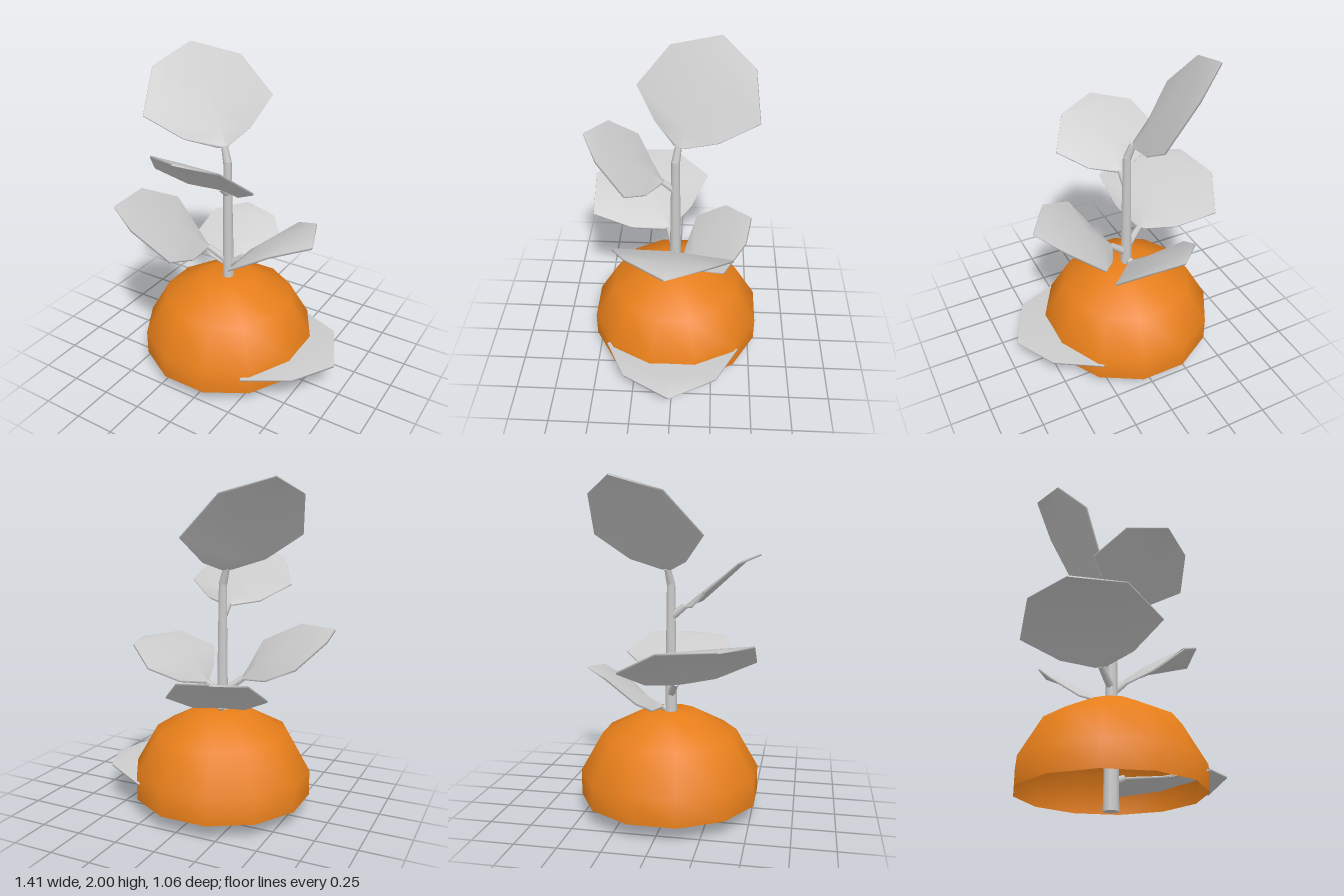
import * as THREE from 'three';

const V = (x, y, z) => new THREE.Vector3(x, y, z);
const UP = V(0, 1, 0);
const STEM_X = -0.06;
const THICKNESS = 0.012;

const grey = new THREE.MeshStandardMaterial({ color: 0xcccccc });
const orange = new THREE.MeshStandardMaterial({ color: 0xe67e1a, side: THREE.DoubleSide });

// Leaf cross-sections: [along, share of half width, edge height, midrib height]
const LEAF = [
  [0, 0.08, 0, 0],
  [0.14, 0.52, -0.025, 0.005],
  [0.39, 1, -0.006, 0.012],
  [0.8, 0.68, 0.022, 0.024],
  [1, 0.01, 0, 0],
];
// Corners around each cross-section: [side, layer], upper layer first
const RING = [[-1, 0], [0, 0], [1, 0], [1, 1], [0, 1], [-1, 1]];

// Tapered round rod between two points
function rod(name, a, b, r0, r1, sides = 8) {
  const dir = b.clone().sub(a);
  const mesh = new THREE.Mesh(new THREE.CylinderGeometry(r1, r0, dir.length(), sides), grey);
  mesh.position.copy(a).add(b).multiplyScalar(0.5);
  mesh.quaternion.setFromUnitVectors(UP, dir.normalize());
  mesh.name = name;
  return mesh;
}

// Thin solid leaf blade from base to tip, arched upward, with its width kept level
function blade(base, tip, halfWidth, arch) {
  const d = tip.clone().sub(base);
  const w = d.clone().cross(UP).normalize();
  const n = w.clone().cross(d).normalize();
  const pos = [], index = [], R = RING.length;
  for (const [t, width, edge, mid] of LEAF) {
    for (const [s, layer] of RING) {
      const h = (s ? edge : mid) + arch * 4 * t * (1 - t) - layer * THICKNESS;
      const p = base.clone()
        .addScaledVector(d, t)
        .addScaledVector(w, s * width * halfWidth)
        .addScaledVector(n, h);
      pos.push(p.x, p.y, p.z);
    }
  }
  for (let i = 0; i < LEAF.length - 1; i++) {
    for (let j = 0; j < R; j++) {
      const a = i * R + j, b = i * R + (j + 1) % R;
      index.push(a, b, a + R, b, b + R, a + R);
    }
  }
  // End caps
  const last = (LEAF.length - 1) * R;
  for (let j = 1; j < R - 1; j++) {
    index.push(0, j + 1, j, last, last + j, last + j + 1);
  }
  const geo = new THREE.BufferGeometry();
  geo.setAttribute('position', new THREE.Float32BufferAttribute(pos, 3));
  geo.setIndex(index);
  geo.computeVertexNormals();
  const mesh = new THREE.Mesh(geo, grey);
  mesh.name = 'blade';
  return mesh;
}

export function createModel() {
  const group = new THREE.Group();
  group.name = 'plant';

  // Main stem
  group.add(rod('stem', V(STEM_X, 0, 0), V(STEM_X, 1.4, 0), 0.046, 0.025));

  // Twelve-sided dome, open underneath
  const profile = [[0.545, 0.095], [0.545, 0.25], [0.41, 0.487], [0.165, 0.615], [0, 0.615]]
    .map(([r, y]) => new THREE.Vector2(r, y));
  const dome = new THREE.Mesh(new THREE.LatheGeometry(profile, 12, Math.PI / 12), orange);
  dome.position.set(STEM_X, 0, -0.005);
  dome.name = 'dome';
  group.add(dome);

  // Leaves: height on the stem, blade base, blade tip, half width, arch
  const leaves = [
    ['lowLeaf', 0.16, V(0.03, 0.2, 0), V(0.71, 0.215, 0.01), 0.42, 0.015],
    ['backLeaf', 0.6, V(-0.07, 0.645, -0.05), V(-0.2, 0.9, -0.475), 0.3, 0.005],
    ['leftLeaf', 0.69, V(0.045, 0.78, -0.01), V(0.53, 1.01, 0.04), 0.368, 0.065],
    ['rightLeaf', 0.72, V(-0.18, 0.815, 0.05), V(-0.65, 1.1, 0.355), 0.427, 0.042],
    ['frontLeaf', 1.19, V(-0.06, 1.255, 0.08), V(-0.07, 1.57, 0.525), 0.338, 0.005],
    ['topLeaf', 1.385, V(-0.09, 1.48, -0.015), V(-0.48, 2.0, -0.25), 0.425, 0.005],
  ];
  for (const [name, y, base, tip, halfWidth, arch] of leaves) {
    const leaf = new THREE.Group();
    leaf.name = name;
    leaf.add(rod('stalk', V(STEM_X, y, 0), base, 0.026, 0.02, 6));
    leaf.add(blade(base, tip, halfWidth, arch));
    group.add(leaf);
  }
  return group;
}
